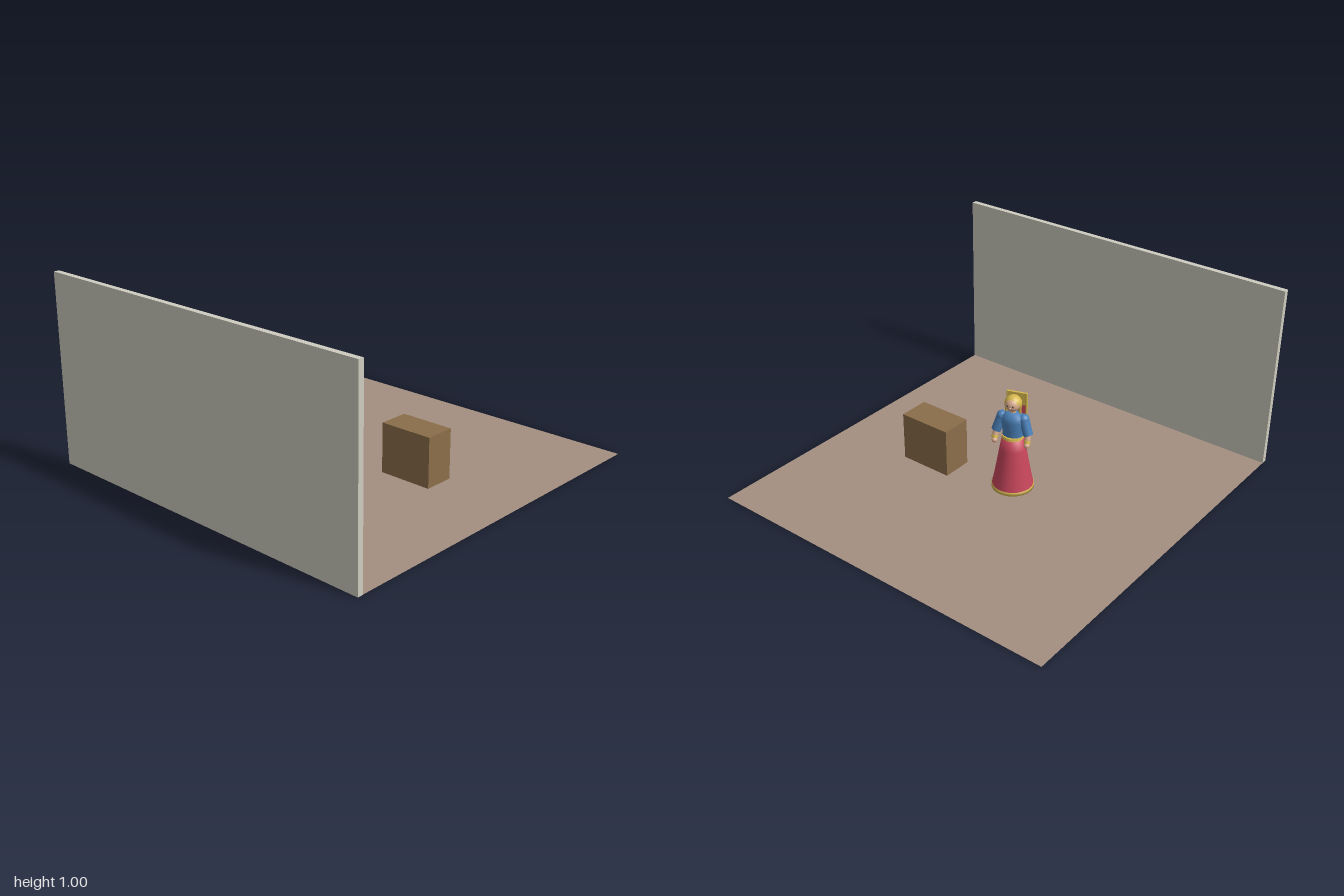
import * as THREE from 'three';

const mat = (name, color, side = THREE.FrontSide) => {
  const m = new THREE.MeshStandardMaterial({ color, side });
  m.name = name;
  return m;
};

export function createModel() {
  const plaster = mat('plaster', 0xcfccbf);
  const ground = mat('ground', 0xa48f81, THREE.DoubleSide);
  const wood = mat('wood', 0x8b6e4a);
  const red = mat('red cloth', 0xc8465c);
  const blue = mat('blue cloth', 0x4a80b8);
  const gold = mat('gold', 0xd6b84e);
  const skin = mat('skin', 0xdcae90);
  const dark = mat('dark', 0x3a2c28);

  const add = (parent, name, geometry, material, x = 0, y = 0, z = 0) => {
    const mesh = new THREE.Mesh(geometry, material);
    mesh.name = name;
    mesh.position.set(x, y, z);
    parent.add(mesh);
    return mesh;
  };
  const box = (w, h, d) => new THREE.BoxGeometry(w, h, d);
  const lathe = (pts) => new THREE.LatheGeometry(pts.map(([r, y]) => new THREE.Vector2(r, y)), 32);
  // tapered limb between two points
  const limb = (parent, name, a, b, ra, rb, material) => {
    const p = new THREE.Vector3(...a), q = new THREE.Vector3(...b);
    const mesh = add(parent, name, new THREE.CylinderGeometry(rb, ra, p.distanceTo(q), 16), material);
    mesh.position.copy(p).add(q).multiplyScalar(0.5);
    mesh.quaternion.setFromUnitVectors(new THREE.Vector3(0, 1, 0), q.sub(p).normalize());
    return mesh;
  };

  const model = new THREE.Group();
  model.name = 'scene';

  // room
  const floor = add(model, 'floor', new THREE.PlaneGeometry(1.98, 2), ground, 0, 0.001, 0);
  floor.rotation.x = -Math.PI / 2;
  add(model, 'wall', box(1.98, 1, 0.03), plaster, 0, 0.5, 0.985);
  add(model, 'crate', box(0.295, 0.265, 0.165), wood, 0.395, 0.1335, -0.077);

  // standing figure, turned away from the wall
  const figure = new THREE.Group();
  figure.name = 'figure';
  figure.position.set(-0.07, 0, -0.01);
  figure.rotation.y = 0.32;
  model.add(figure);

  add(figure, 'hem', lathe([[0, 0], [0.11, 0], [0.11, 0.02], [0.1, 0.02]]), gold);
  add(figure, 'skirt', lathe([[0.107, 0.018], [0.094, 0.08], [0.08, 0.16], [0.068, 0.23], [0.055, 0.3], [0, 0.3]]), red);
  add(figure, 'belt', new THREE.CylinderGeometry(0.054, 0.057, 0.014, 32), gold, 0, 0.3, 0);
  const bodice = add(figure, 'bodice',
    lathe([[0.053, 0.3], [0.055, 0.34], [0.062, 0.39], [0.055, 0.42], [0.03, 0.437], [0, 0.44]]), blue);
  bodice.scale.z = 0.8;
  add(figure, 'neck', new THREE.CylinderGeometry(0.016, 0.018, 0.04, 16), skin, 0, 0.445, 0);

  // arms
  for (const s of [-1, 1]) {
    add(figure, 'shoulder', new THREE.SphereGeometry(0.028, 20, 14), blue, s * 0.058, 0.405, 0);
    limb(figure, 'sleeve', [s * 0.058, 0.405, 0], [s * 0.085, 0.325, -0.012], 0.027, 0.025, blue);
    limb(figure, 'forearm', [s * 0.084, 0.33, -0.012], [s * 0.086, 0.285, -0.032], 0.017, 0.013, skin);
    limb(figure, 'cuff', [s * 0.086, 0.3, -0.026], [s * 0.086, 0.287, -0.032], 0.017, 0.017, gold);
    add(figure, 'hand', new THREE.SphereGeometry(0.015, 16, 12), skin, s * 0.086, 0.277, -0.036);
  }

  // head, hair and face
  const head = new THREE.Group();
  head.name = 'head';
  head.position.set(0, 0.485, 0);
  figure.add(head);
  add(head, 'face', new THREE.SphereGeometry(0.039, 24, 18), skin, 0, 0, -0.006);
  const hair = add(head, 'hair', new THREE.SphereGeometry(0.044, 24, 18, 0, Math.PI * 2, 0, Math.PI * 0.56), gold, 0, 0.001, 0.003);
  hair.rotation.x = 0.55;
  add(head, 'bun', new THREE.SphereGeometry(0.034, 20, 14), gold, 0, -0.012, 0.014);
  add(head, 'nose', new THREE.SphereGeometry(0.006, 10, 8), skin, 0, -0.006, -0.045);
  for (const s of [-1, 1]) {
    add(head, 'eye', new THREE.SphereGeometry(0.004, 10, 8), dark, s * 0.014, 0.003, -0.041);
    limb(head, 'sideLock', [s * 0.037, 0.01, 0], [s * 0.036, -0.05, 0.004], 0.009, 0.007, gold);
  }

  // flat panel carried on the back
  const panel = new THREE.Group();
  panel.name = 'backPanel';
  panel.position.set(0, 0, 0.062);
  figure.add(panel);
  add(panel, 'panel', box(0.092, 0.15, 0.012), red, 0, 0.375, 0);
  add(panel, 'panelCrest', box(0.092, 0.068, 0.012), gold, 0, 0.484, 0);
  add(panel, 'panelRail', box(0.108, 0.014, 0.018), gold, 0, 0.313, 0);
  add(panel, 'panelTail', box(0.03, 0.065, 0.01), red, 0, 0.273, 0);
  for (const s of [-1, 1]) add(panel, 'panelPost', new THREE.CylinderGeometry(0.006, 0.006, 0.2, 12), gold, s * 0.05, 0.418, 0);
  add(panel, 'crestRing', new THREE.TorusGeometry(0.012, 0.003, 8, 20), dark, 0, 0.484, 0.006);
  add(panel, 'crestKnob', new THREE.SphereGeometry(0.01, 14, 10), skin, 0, 0.484, 0.006);
  return model;
}
